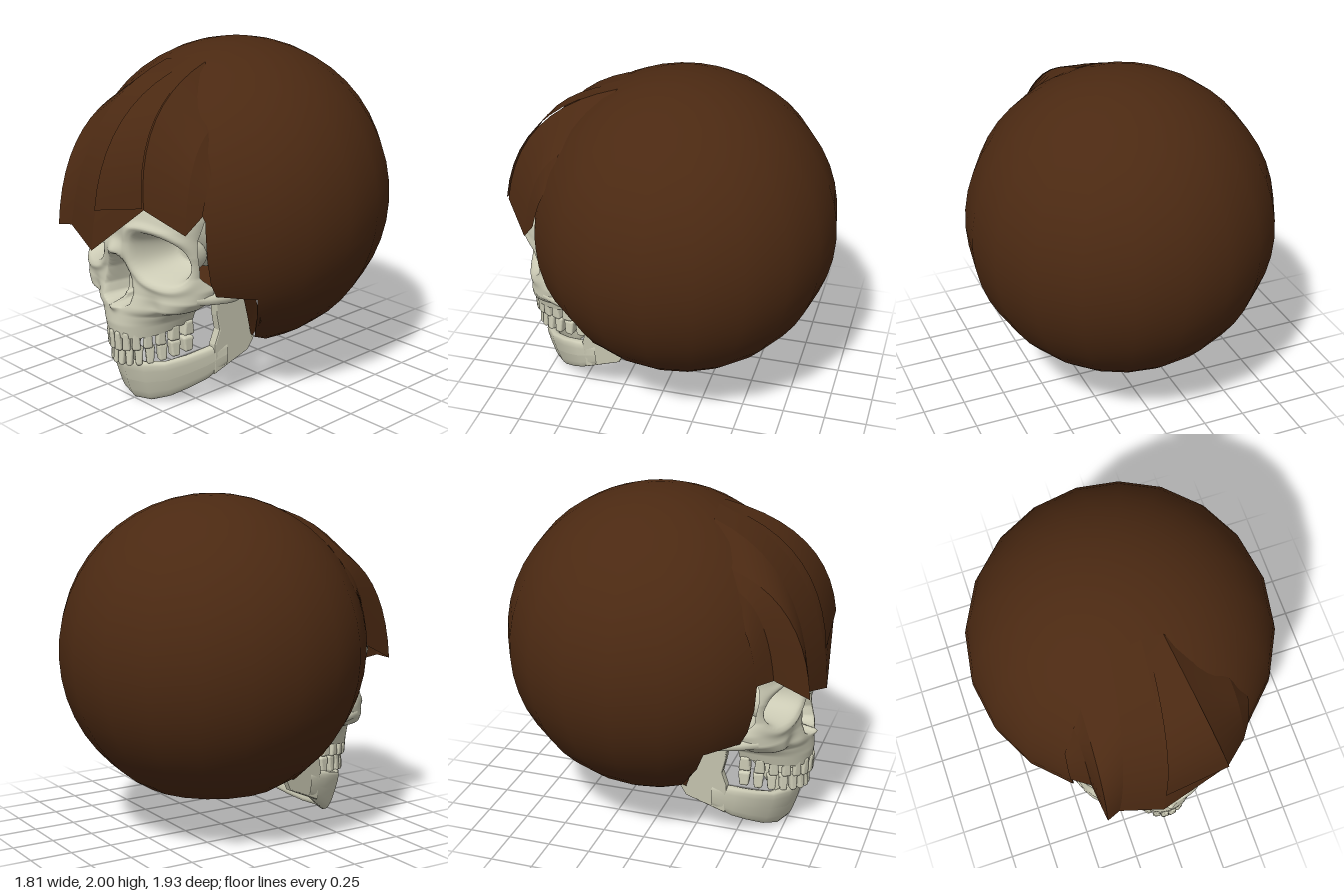
import * as THREE from 'three';
import { RoundedBoxGeometry } from 'three/addons/geometries/RoundedBoxGeometry.js';

const hairMat = new THREE.MeshStandardMaterial({ color: 0x4b2912, side: THREE.DoubleSide });
const boneMat = new THREE.MeshStandardMaterial({ color: 0xcdccb6, side: THREE.DoubleSide });
const { sin, cos, abs, sqrt, PI, hypot, acos, exp } = Math;
const RAD = PI / 180;
const R = 0.905, CY = 1.095, CZ = -0.06; // hair ball

// Piecewise linear lookup in [[key, value], ...]
function lookup(table, k) {
  if (k <= table[0][0]) return table[0][1];
  for (let i = 1; i < table.length; i++) {
    const [a, va] = table[i - 1], [b, vb] = table[i];
    if (k <= b) return va + (vb - va) * (k - a) / (b - a);
  }
  return table[table.length - 1][1];
}

// Surface from fn(i, j) -> [x, y, z]; it faces (i direction) x (j direction)
function grid(nu, nv, fn) {
  const pos = [], idx = [];
  for (let j = 0; j <= nv; j++) for (let i = 0; i <= nu; i++) pos.push(...fn(i, j));
  for (let j = 0; j < nv; j++) for (let i = 0; i < nu; i++) {
    const a = j * (nu + 1) + i, b = a + 1, c = a + nu + 1, d = c + 1;
    idx.push(a, b, d, a, d, c);
  }
  const g = new THREE.BufferGeometry();
  g.setAttribute('position', new THREE.Float32BufferAttribute(pos, 3));
  g.setIndex(idx);
  g.computeVertexNormals();
  return g;
}

function add(parent, name, geometry, material) {
  const m = new THREE.Mesh(geometry, material);
  m.name = name;
  parent.add(m);
  return m;
}

// Ball of hair, 20-sided, with its lower edge rising around the face
function hairCap() {
  const edge = [[0, 1.25], [33, 1.25], [35.9, 1.17], [36.4, 0.95], [37.2, 0.8], [38.8, 0.72],
    [54.6, 0.7], [55.5, 0.57], [58, 0.36], [60, 0.35], [71, 0.29], [180, 0.29]];
  const set = new Set();
  for (let a = -180; a <= 180; a += 18) set.add(a);
  edge.forEach(([a]) => { set.add(a); set.add(-a); });
  const az = [...set].sort((a, b) => a - b), rows = 20;
  const lowest = acos((0.29 - CY) / R);
  const g = grid(az.length - 1, rows, (i, j) => {
    const a = az[i], end = acos((lookup(edge, abs(a)) - CY) / R);
    const p = Math.min(end, lowest * (1 - j / rows));
    const m = ((a % 18) + 18) % 18;
    const r = R * sin(p) * cos(9 * RAD) / cos((m - 9) * RAD);
    return [r * sin(a * RAD), CY + R * cos(p), CZ + r * cos(a * RAD)];
  });
  const P = g.attributes.position, N = g.attributes.normal, v = new THREE.Vector3();
  for (let i = 0; i < P.count; i++) {
    v.set(P.getX(i), P.getY(i) - CY, P.getZ(i) - CZ).normalize();
    N.setXYZ(i, v.x, v.y, v.z);
  }
  return g;
}

// Locks of the fringe: each column runs from a root on the ball to a tip, never inside the ball
function fringe(parent, name, columns) {
  const centre = new THREE.Vector3(0, CY, CZ);
  const curves = columns.map(([tx, ty, bx, by, bz]) => {
    const tz = CZ + sqrt(R * R - tx * tx - (ty - CY) ** 2);
    return new THREE.QuadraticBezierCurve3(
      new THREE.Vector3(tx, ty, tz),
      new THREE.Vector3(tx * 0.5 + bx * 0.5, by + (ty - by) * 0.8, bz - 0.04),
      new THREE.Vector3(bx, by, bz));
  });
  for (let k = 0; k + 1 < curves.length; k++) {
    add(parent, name, grid(1, 10, (i, j) => curves[k + i].getPoint(1 - j / 10)
      .sub(centre).clampLength(R * 1.002, 2).add(centre).toArray()), hairMat);
  }
}

// Face of the skull: curved mask with eye sockets and nose opening pressed in
function faceMask() {
  const half = [[0.42, 0.23], [0.5, 0.25], [0.57, 0.29], [0.62, 0.4], [0.68, 0.47], [0.75, 0.485],
    [0.83, 0.455], [0.95, 0.465], [1.05, 0.46], [1.15, 0.47], [1.35, 0.47]];
  const front = [[0.42, 0.88], [0.5, 0.89], [0.6, 0.88], [0.7, 0.85], [0.8, 0.84], [0.9, 0.85],
    [1, 0.86], [1.1, 0.88], [1.2, 0.86], [1.35, 0.78]];
  const back = [[0.42, 0.5], [0.52, 0.5], [0.58, 0.55], [0.62, 0.62], [0.68, 0.58], [0.75, 0.56],
    [0.83, 0.63], [0.95, 0.65], [1.05, 0.66], [1.15, 0.62], [1.35, 0.5]];
  const nose = [[0.61, 0.06], [0.64, 0.1], [0.7, 0.11], [0.8, 0.085], [0.9, 0.04], [0.93, 0.02]];
  const nu = 120, nv = 100;
  return grid(nu, nv, (i, j) => {
    const s = (i / nu) * 2 - 1, y = 0.42 + 0.93 * j / nv;
    const x = lookup(half, y) * sin(s * PI / 2), ax = abs(x);
    const ze = lookup(back, y);
    const power = 0.8 + 0.4 * exp(-(((y - 0.93) / 0.12) ** 2)); // outer rims sweep back
    let z = ze + (lookup(front, y) - ze) * Math.max(0, cos(s * PI / 2)) ** power;
    // eye sockets with raised rims, outer corner drooping
    const ex = (ax - 0.28) / 0.16, ey = (y - 0.93 + 0.15 * (ax - 0.28)) / 0.145;
    const d = (ex ** 4 * 0.5 + ey ** 4 * 0.5 + 0.5 * (ex * ex + ey * ey) ** 2) ** 0.25;
    z += 0.015 * exp(-(((d - 1.2) / 0.15) ** 2));
    z -= 0.25 * (1 - THREE.MathUtils.smoothstep(d, 0.5, 1.04));
    // nasal bones, hollow cheeks, nose opening with its septum
    z += 0.05 * exp(-((x / 0.06) ** 2)) * exp(-(((y - 0.93) / 0.06) ** 2));
    z -= 0.03 * exp(-(((ax - 0.24) / 0.06) ** 2) - ((y - 0.63) / 0.07) ** 2);
    const fade = THREE.MathUtils.smoothstep(y, 0.61, 0.64) * (1 - THREE.MathUtils.smoothstep(y, 0.87, 0.93));
    const n = ax / lookup(nose, y);
    z -= 0.2 * fade * (1 - THREE.MathUtils.smoothstep(n, 0.65, 1.15)) * (ax < 0.012 ? 0.4 : 1);
    z += 0.03 * exp(-((x / 0.03) ** 2) - ((y - 0.61) / 0.025) ** 2);
    const lift = 0.06 * s * s * Math.min(1, Math.max(0, (0.6 - y) / 0.18));
    return [x, y + lift, z];
  });
}

// Horseshoe of the lower jaw: stations of x, z, top, bottom
function jawBody() {
  const side = [[0.365, 0.38, 0.36, 0.22], [0.335, 0.5, 0.34, 0.14], [0.285, 0.59, 0.31, 0.09],
    [0.215, 0.68, 0.28, 0.04], [0.12, 0.75, 0.27, 0.006]];
  const st = [...side.map(([x, ...r]) => [-x, ...r]), [0, 0.785, 0.265, 0],
    ...side.slice().reverse()];
  const n = 16;
  return grid(n, st.length - 1, (i, j) => {
    const [x, z, top, bot] = st[j], a = i / n * 2 * PI;
    const l = hypot(x, z - 0.35), nx = x / l, nz = (z - 0.35) / l;
    const sq = (c) => Math.sign(c) * abs(c) ** 0.65;
    const o = sq(cos(a)) * 0.035, h = sq(sin(a));
    const slant = Math.max(0, nz) * 0.04 * h; // chin recedes, gum line leans forward
    const taper = 1 - 0.14 * nz * (1 - h) / 2; // underside narrows
    return [(x + nx * o) * taper, (top + bot) / 2 + h * (top - bot) / 2, z + nz * o + slant - 0.02 * nz];
  });
}

// Upright branch of the jaw, drawn in (z, y), leaning outward to the top and rear
function ramus(side) {
  const pts = [[0.235, 0.28], [0.2, 0.35], [0.24, 0.5], [0.28, 0.68], [0.32, 0.72], [0.36, 0.69], [0.39, 0.61],
    [0.44, 0.64], [0.48, 0.66], [0.46, 0.55], [0.435, 0.45], [0.46, 0.36], [0.45, 0.18]];
  const shape = new THREE.Shape(pts.map(([z, y]) => new THREE.Vector2(-z, y)));
  const g = new THREE.ExtrudeGeometry(shape, { depth: 0.03, bevelSize: 0.008, bevelThickness: 0.012, bevelSegments: 2 });
  g.rotateY(PI / 2);
  const P = g.attributes.position;
  for (let i = 0; i < P.count; i++) {
    const lean = 0.1 * (P.getY(i) - 0.35) + 0.14 * (0.42 - P.getZ(i));
    P.setX(i, side * 0.36 + P.getX(i) - 0.015 + side * lean);
  }
  g.computeVertexNormals();
  return g;
}

// Row of teeth on an arch; dir -1 hangs down, +1 stands up
function teeth(parent, name, dir, rx, zFront, yFront, yBack) {
  for (let k = 0; k < 14; k++) {
    const a = (k - 6.5) / 6.5 * 80 * RAD, m = 1 - cos(a);
    const w = 0.047 + 0.032 * m, h = 0.115 - 0.03 * m, t = 0.045 + 0.03 * m;
    const g = new RoundedBoxGeometry(w, h, t, 2, 0.014);
    const P = g.attributes.position;
    for (let i = 0; i < P.count; i++) { // narrow toward the root, thin toward the front bite
      const v = P.getY(i) / h * dir + 0.5;
      P.setX(i, P.getX(i) * (0.72 + 0.28 * v));
      P.setZ(i, P.getZ(i) * (1 - 0.35 * v * (1 - m)));
    }
    g.computeVertexNormals();
    const tooth = add(parent, name, g, boneMat);
    const dz = zFront - 0.46;
    tooth.position.set(rx * sin(a), yFront + (yBack - yFront) * m, 0.46 + dz * cos(a));
    tooth.rotation.y = Math.atan2(sin(a) / rx, cos(a) / dz);
  }
}

export function createModel() {
  const model = new THREE.Group();
  const hair = new THREE.Group(), skull = new THREE.Group(), jaw = new THREE.Group();
  hair.name = 'hair'; skull.name = 'skull'; jaw.name = 'lowerJaw';
  model.add(hair, skull, jaw);

  // Hair: columns are root x, y and tip x, y, z
  add(hair, 'hairCap', hairCap(), hairMat);
  fringe(hair, 'fringeLock', [
    [-0.54, 1.4, -0.54, 1.1, 0.67], [-0.46, 1.6, -0.44, 1.1, 0.74], [-0.4, 1.7, -0.41, 1.0, 0.94],
    [-0.18, 1.9, -0.33, 1.01, 0.91], [0, 1.93, -0.08, 0.93, 0.965], [0.12, 1.92, 0.31, 1.24, 0.91],
    [0.42, 1.62, 0.47, 1.1, 0.76], [0.52, 1.4, 0.52, 1.2, 0.685]]);
  fringe(hair, 'fringeOverlay', [[0.02, 1.9, -0.07, 1.16, 0.945], [0.12, 1.92, 0.31, 1.25, 0.92]]);
  // Side locks turned in behind the jaw: outer and inner edge
  const lock = [[[0.65, 0.7, 0.41], [0.6, 0.53, 0.32], [0.43, 0.35, 0.24]],
    [[0.54, 0.68, 0.4], [0.49, 0.53, 0.32], [0.4, 0.34, 0.2]]];
  for (const s of [-1, 1]) add(hair, 'sideLock', grid(1, 2, (i, j) => {
    const [x, y, z] = lock[i][j];
    return [s * x, y, z];
  }), hairMat);

  // Skull
  add(skull, 'face', faceMask(), boneMat);
  const cranium = add(skull, 'cranium', new THREE.SphereGeometry(1, 32, 24), boneMat);
  cranium.scale.set(0.46, 0.45, 0.55);
  cranium.position.set(0, 1.13, 0.1);
  const palate = add(skull, 'palate', new THREE.CylinderGeometry(1, 1, 0.03, 24, 1, false, -PI / 2, PI), boneMat);
  palate.scale.set(0.22, 1, 0.36);
  palate.position.set(0, 0.49, 0.5);
  const rear = add(skull, 'upperJawRear', new THREE.SphereGeometry(1, 24, 16), boneMat);
  rear.scale.set(0.25, 0.16, 0.1);
  rear.position.set(0, 0.62, 0.53);
  for (const s of [-1, 1]) {
    const path = new THREE.CatmullRomCurve3([[0.43, 0.7, 0.66], [0.475, 0.69, 0.54], [0.485, 0.68, 0.42], [0.44, 0.71, 0.25]]
      .map(([x, y, z]) => new THREE.Vector3(s * x, y, z)));
    add(skull, 'cheekArch', new THREE.TubeGeometry(path, 16, 0.033, 10), boneMat);
  }
  teeth(skull, 'upperTooth', -1, 0.215, 0.875, 0.4, 0.455);

  // Lower jaw
  add(jaw, 'jawBody', jawBody(), boneMat);
  for (const s of [-1, 1]) add(jaw, 'jawBranch', ramus(s), boneMat);
  teeth(jaw, 'lowerTooth', 1, 0.205, 0.85, 0.305, 0.35);
  return model;
}
